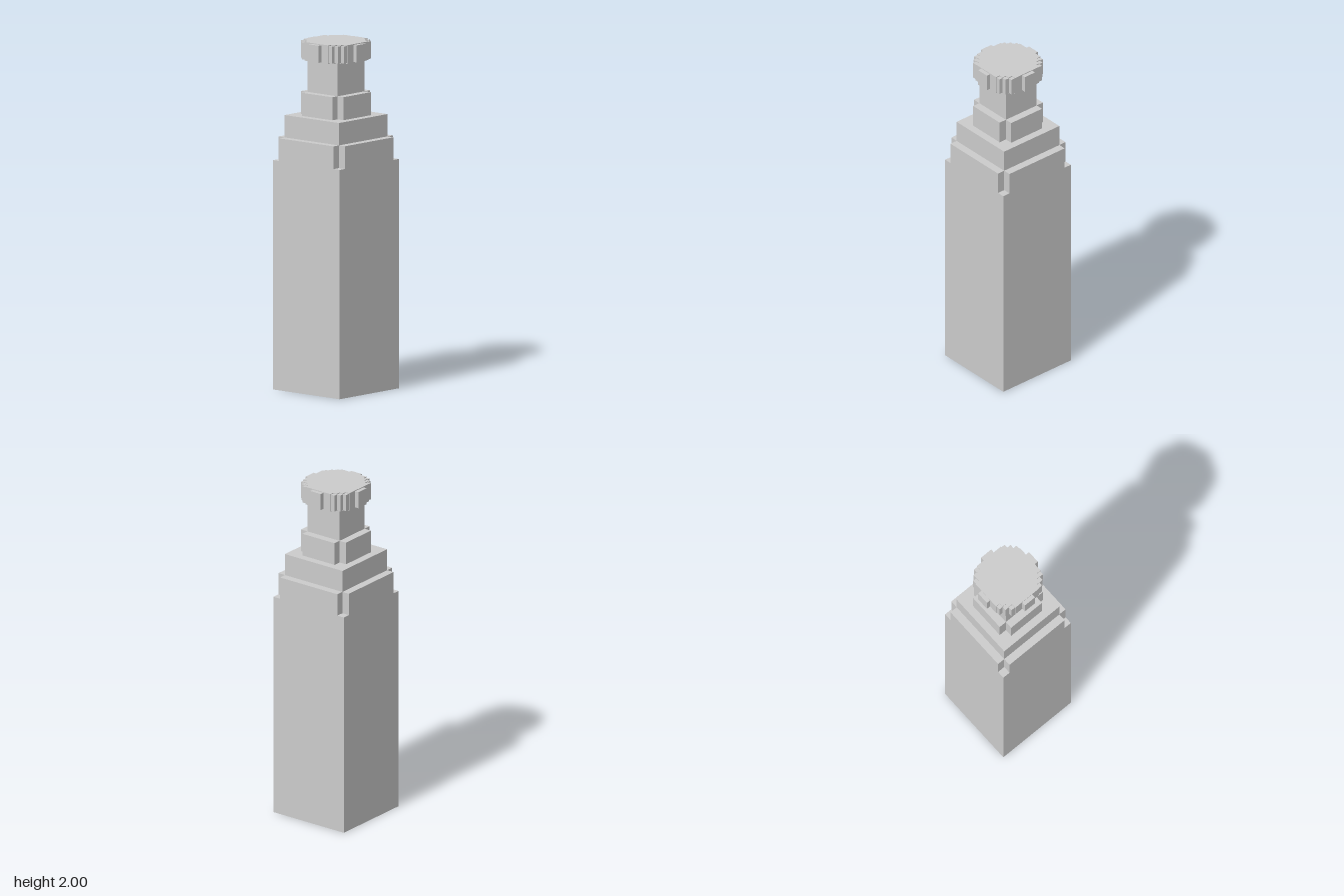
import * as THREE from 'three';

export function createModel() {
  const group = new THREE.Group();
  const material = new THREE.MeshStandardMaterial({ color: 0xcccccc, flatShading: true });

  // Extrude one outline (corners in x, z) upward from y0 to y1.
  function addPrism(name, points, y0, y1) {
    const shape = new THREE.Shape(points.map(([x, z]) => new THREE.Vector2(x, z)));
    const geometry = new THREE.ExtrudeGeometry(shape, { depth: y1 - y0, bevelEnabled: false });
    geometry.rotateX(-Math.PI / 2);
    const mesh = new THREE.Mesh(geometry, material);
    mesh.name = name;
    mesh.position.y = y0;
    group.add(mesh);
  }

  // Repeat one quarter of an outline around the four sides.
  function fourFold(quarter) {
    const points = [];
    for (let i = 0, q = quarter; i < 4; i++) {
      points.push(...q);
      q = q.map(([x, z]) => [-z, x]);
    }
    return points;
  }
  const square = (h) => fourFold([[h, h]]);
  const notched = (h, n) => fourFold([[h, n], [n, n], [n, h]]);

  // Square body with notched corners at the shoulder
  addPrism('body', square(0.252), 0, 1.315);
  addPrism('notchedShoulder', notched(0.252, 0.206), 1.315, 1.445);
  addPrism('upperShoulder', square(0.206), 1.445, 1.573);

  // Neck and its notched collar
  addPrism('neckCollar', notched(0.161, 0.115), 1.573, 1.705);
  addPrism('neck', square(0.115), 1.705, 1.893);

  // Stepped round cap
  const steps = [0.089, 0.114, 0.139, 0.164];
  const [a, b, c] = steps;
  const r = 0.166;
  addPrism('cap', fourFold([[r, a], [c, a], [c, b], [b, b], [b, c], [a, c], [a, r]]), 1.893, 2);

  // Grip ribs: one on each side and three filling the steps of each corner
  const ribs = [[0.15, 0.19, -0.038, 0.038]];
  for (let i = 0; i < 3; i++) {
    ribs.push([steps[i], Math.min(steps[i + 1], 0.162), steps[2 - i], Math.min(steps[3 - i], 0.162)]);
  }
  for (const [x0, x1, z0, z1] of ribs) {
    for (let i = 0; i < 4; i++) {
      const rib = new THREE.Mesh(new THREE.BoxGeometry(x1 - x0, 0.098, z1 - z0), material);
      rib.geometry.translate((x0 + x1) / 2, 1.9465, (z0 + z1) / 2);
      rib.rotation.y = i * Math.PI / 2;
      rib.name = 'capRib';
      group.add(rib);
    }
  }
  return group;
}
